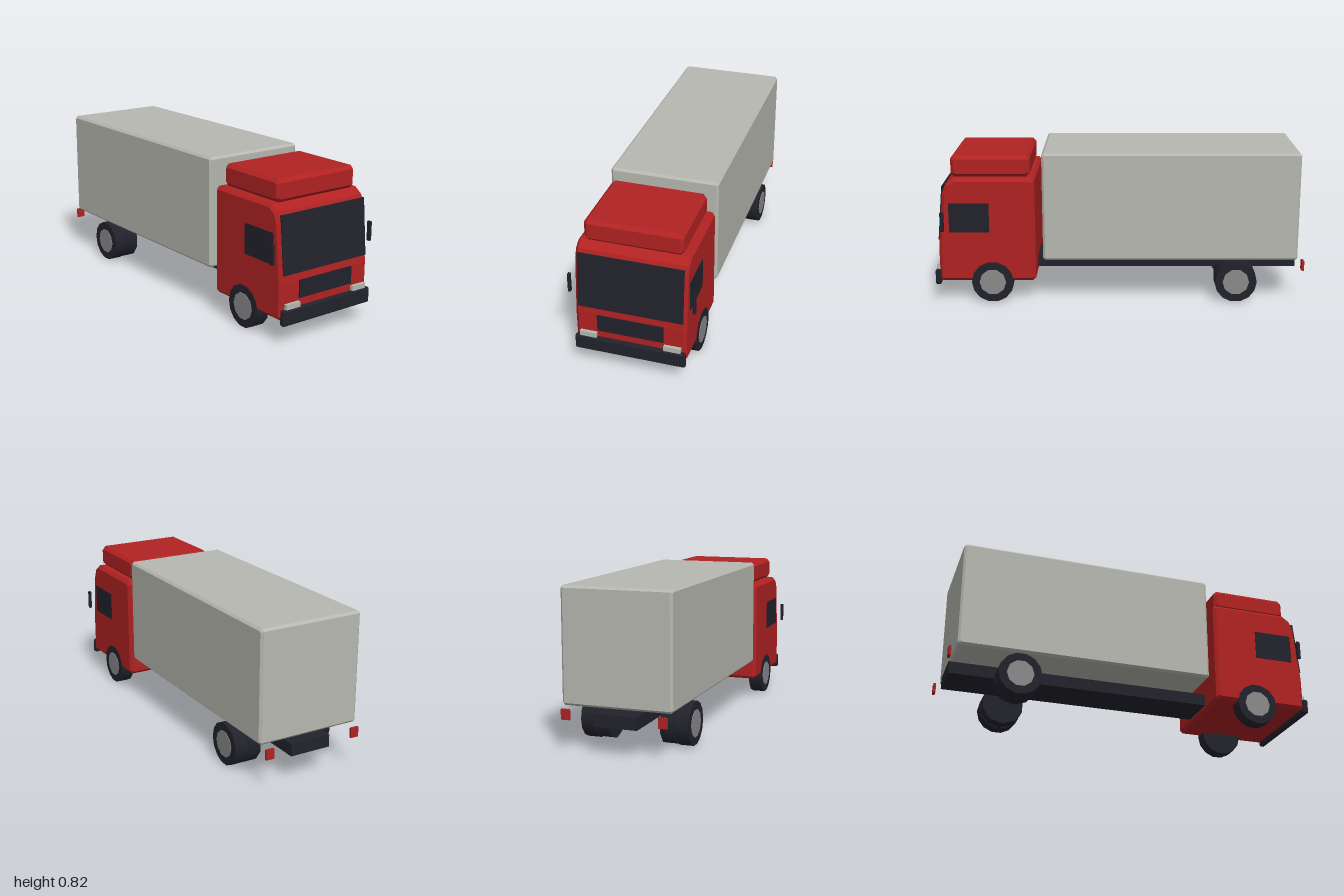
import * as THREE from 'three';

const mat = (name, color) => new THREE.MeshStandardMaterial({ name, color });

export function createModel() {
  const truck = new THREE.Group();
  truck.name = 'boxTruck';
  const red = mat('red paint', 0xb22222);
  const grey = mat('pale grey panel', 0xb8b8b1);
  const dark = mat('dark trim', 0x22222c);
  const steel = mat('wheel steel', 0x8a8a8c);

  const add = (name, geometry, material, x = 0, y = 0, z = 0, parent = truck) => {
    const mesh = new THREE.Mesh(geometry, material);
    mesh.name = name;
    mesh.position.set(x, y, z);
    parent.add(mesh);
    return mesh;
  };

  // Plain box given by its limits on each axis
  const block = (name, material, x0, x1, y0, y1, z0, z1) =>
    add(name, new THREE.BoxGeometry(x1 - x0, y1 - y0, z1 - z0), material,
      (x0 + x1) / 2, (y0 + y1) / 2, (z0 + z1) / 2);

  // Side profile of [z, y] points spread across the width, with bevelled sides
  const hull = (name, material, points, halfWidth, bevel) => {
    const shape = new THREE.Shape(points.map(([z, y]) => new THREE.Vector2(z, y)));
    const geometry = new THREE.ExtrudeGeometry(shape, {
      depth: 2 * (halfWidth - bevel), bevelEnabled: true, bevelSegments: 1,
      bevelSize: bevel, bevelThickness: bevel, bevelOffset: -bevel,
    });
    geometry.translate(0, 0, -(halfWidth - bevel));
    geometry.rotateY(-Math.PI / 2);
    return add(name, geometry, material);
  };

  // Box with every edge chamfered
  const chamferedBox = (name, material, halfWidth, y0, y1, z0, z1, c) =>
    hull(name, material, [
      [z0 + c, y0], [z1 - c, y0], [z1, y0 + c], [z1, y1 - c],
      [z1 - c, y1], [z0 + c, y1], [z0, y1 - c], [z0, y0 + c],
    ], halfWidth, c);

  // Body: cargo box, cab, roof fairing and chassis
  chamferedBox('cargoBox', grey, 0.288, 0.235, 0.825, -0.96, 0.415, 0.012);
  hull('cab', red, [
    [0.47, 0.12], [0.962, 0.12], [0.975, 0.133], [0.975, 0.31], [0.947, 0.61],
    [0.927, 0.66], [0.885, 0.69], [0.47, 0.69], [0.455, 0.675], [0.455, 0.135],
  ], 0.288, 0.016);
  chamferedBox('roofFairing', red, 0.252, 0.69, 0.806, 0.48, 0.902, 0.018);
  block('chassis', dark, -0.113, 0.113, 0.145, 0.21, -0.975, 0.5);

  // Cab front
  const screen = add('windscreen', new THREE.BoxGeometry(0.544, 0.297, 0.008), dark, 0, 0.498, 0.959);
  screen.rotation.x = -Math.atan2(0.028, 0.3);
  block('grille', dark, -0.172, 0.172, 0.22, 0.312, 0.974, 0.982);
  chamferedBox('bumper', dark, 0.288, 0.1, 0.18, 0.97, 1, 0.006);

  // Tyre and hub, turned to spin about x
  const wheel = (name, side, x0, x1, z, sides, withHub) => {
    const group = new THREE.Group();
    group.name = name;
    group.position.set(side * (x0 + x1) / 2, 0.114, z);
    truck.add(group);
    const tyre = new THREE.CylinderGeometry(0.114, 0.114, x1 - x0, sides);
    tyre.rotateZ(Math.PI / 2);
    // An inner tyre rests on a flat facet
    if (!withHub) tyre.rotateX(Math.PI / sides);
    add('tyre', tyre, dark, 0, 0, 0, group);
    if (withHub) {
      const hub = new THREE.CylinderGeometry(0.072, 0.072, 0.012, 10);
      hub.rotateZ(Math.PI / 2);
      add('hub', hub, steel, side * ((x1 - x0) / 2 - 0.003), 0, 0, group);
    }
  };

  // Paired parts
  for (const side of [1, -1]) {
    const tag = side > 0 ? 'left' : 'right';
    const pair = (name, material, x0, x1, ...rest) =>
      block(tag + name, material, Math.min(side * x0, side * x1), Math.max(side * x0, side * x1), ...rest);
    pair('SideWindow', dark, 0.284, 0.291, 0.395, 0.555, 0.7, 0.915);
    pair('Headlight', grey, 0.175, 0.263, 0.178, 0.207, 0.972, 0.993);
    pair('Mirror', dark, 0.315, 0.328, 0.41, 0.512, 0.937, 0.957);
    pair('TailLight', red, 0.23, 0.275, 0.173, 0.226, -1, -0.987);
    wheel(tag + 'FrontWheel', side, 0.215, 0.29, 0.69, 14, true);
    wheel(tag + 'RearOuterWheel', side, 0.215, 0.29, -0.63, 14, true);
    wheel(tag + 'RearInnerWheel', side, 0.139, 0.211, -0.63, 10, false);
  }
  return truck;
}
